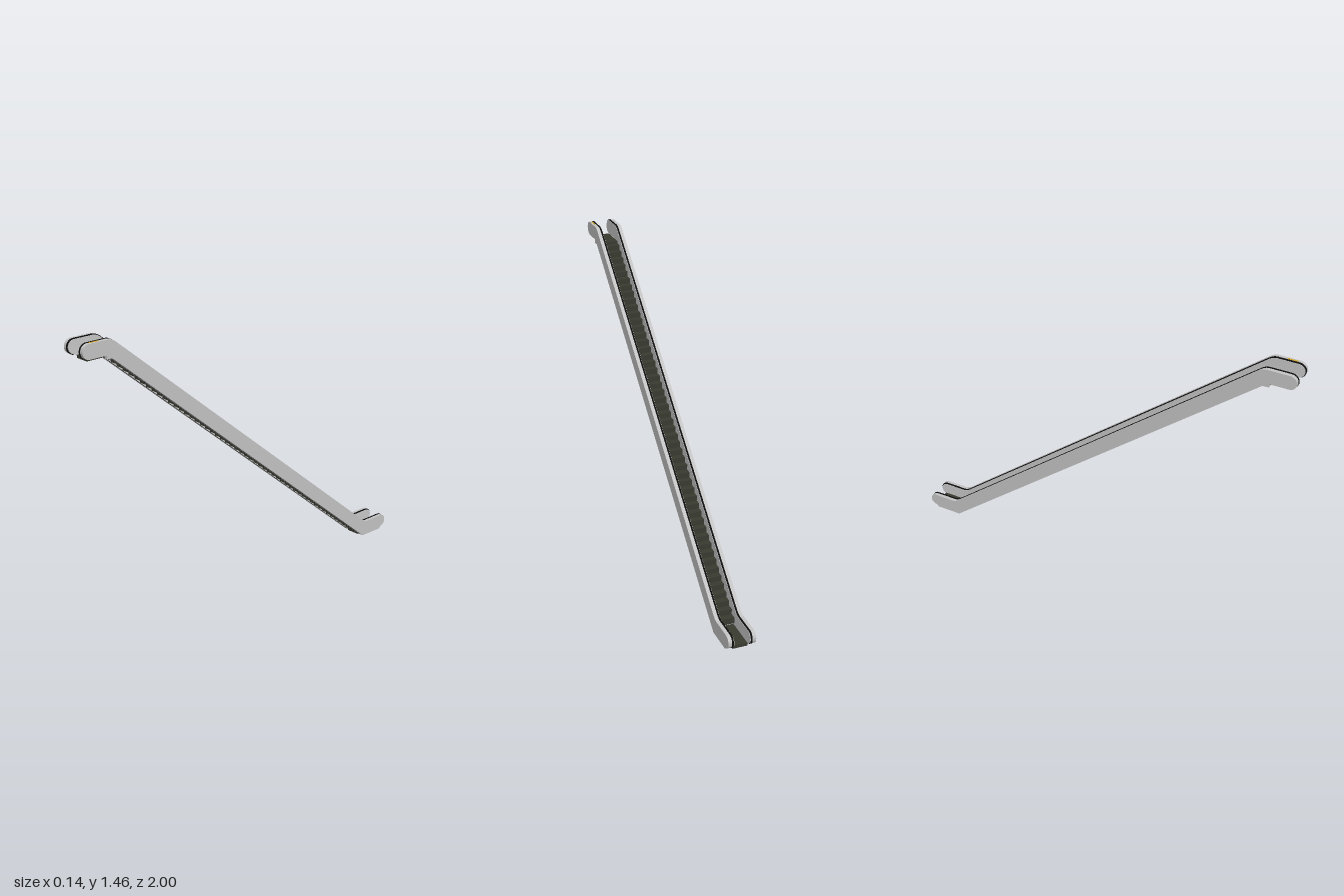
import * as THREE from 'three';
import { toCreasedNormals } from 'three/addons/utils/BufferGeometryUtils.js';

const SLOPE = 0.825;
const underside = (z) => THREE.MathUtils.clamp((z + 0.82) * SLOPE, 0, 1.385);

// Side outline in (z, y): two level ends with round noses joined by a long slope.
// grow lifts the top edge and noses a little.
function sideOutline(grow) {
  const g = grow;
  const s = new THREE.Shape();
  s.moveTo(-0.82, 0);
  s.lineTo(0.842, 1.371);
  s.lineTo(0.872, 1.371);
  s.lineTo(0.872, 1.389);
  s.lineTo(0.963, 1.389);
  s.absarc(0.962, 1.424, 0.035 + g, -Math.PI / 2, Math.PI / 2, false);
  s.lineTo(0.862, 1.459 + g);
  s.quadraticCurveTo(0.842, 1.459 + g, 0.82, 1.441 + g);
  s.lineTo(-0.815, 0.094 + g);
  s.quadraticCurveTo(-0.835, 0.078 + g, -0.855, 0.078 + g);
  s.lineTo(-0.962, 0.078 + g);
  s.absarc(-0.962, 0.045, 0.033 + g, Math.PI / 2, Math.PI * 1.5, false);
  s.lineTo(-0.955, 0);
  s.closePath();
  return s;
}

// Extrudes the outline between two distances from the centre line
function slab(side, inner, outer, grow) {
  const geo = new THREE.ExtrudeGeometry(sideOutline(grow), {
    depth: outer - inner, bevelEnabled: false, curveSegments: 12,
  });
  geo.rotateY(-Math.PI / 2);
  geo.translate(side > 0 ? outer : -inner, 0, 0);
  return geo;
}

export function createModel() {
  const metal = new THREE.MeshStandardMaterial({ color: 0xc2c2c2 });
  metal.name = 'brushed metal';
  const rubber = new THREE.MeshStandardMaterial({ color: 0x0c0c0c });
  rubber.name = 'black rubber';
  const tread = new THREE.MeshStandardMaterial({ color: 0x38392f });
  tread.name = 'dark tread';
  const yellow = new THREE.MeshStandardMaterial({ color: 0xd8a820 });
  yellow.name = 'yellow';

  const model = new THREE.Group();
  model.name = 'escalator';
  const add = (parent, name, geo, mat, x = 0, y = 0, z = 0) => {
    const mesh = new THREE.Mesh(geo, mat);
    mesh.name = name;
    mesh.position.set(x, y, z);
    parent.add(mesh);
  };

  // Balustrades: outer panel, handrail and a lining that leans outward
  for (const side of [1, -1]) {
    const balustrade = new THREE.Group();
    balustrade.name = side > 0 ? 'leftBalustrade' : 'rightBalustrade';
    model.add(balustrade);
    add(balustrade, 'outerPanel', toCreasedNormals(slab(side, 0.05, 0.068, 0), 0.5), metal);
    add(balustrade, 'handrail', toCreasedNormals(slab(side, 0.042, 0.05, 0.0015), 0.5), rubber);

    const lining = slab(side, 0.035, 0.042, -0.002);
    const p = lining.attributes.position;
    for (let i = 0; i < p.count; i++) {
      if (Math.abs(p.getX(i)) > 0.038) continue;
      const t = THREE.MathUtils.clamp((p.getY(i) - underside(p.getZ(i))) / 0.08, 0, 1);
      p.setX(i, side * (0.035 + 0.005 * t));
    }
    add(balustrade, 'innerLining', toCreasedNormals(lining, 0.5), metal);
  }

  // Steps
  const steps = new THREE.Group();
  steps.name = 'steps';
  model.add(steps);
  const count = 52;
  const depth = 1.66 / count;
  const stepGeo = new THREE.BoxGeometry(0.072, 0.031, depth);
  for (let i = 0; i < count; i++) {
    const z = -0.82 + (i + 0.5) * depth;
    const bottom = Math.min(underside(z + depth / 2), 1.356);
    add(steps, 'step', stepGeo, tread, 0, bottom + 0.0155, z);
  }

  // Level landings at both ends
  add(model, 'lowerLanding', new THREE.BoxGeometry(0.072, 0.016, 0.16), tread, 0, 0.009, -0.89);
  add(model, 'upperLanding', new THREE.BoxGeometry(0.072, 0.014, 0.125), tread, 0, 1.38, 0.892);

  // Small marker on the upper end
  add(model, 'marker', new THREE.BoxGeometry(0.006, 0.003, 0.05), yellow, 0.056, 1.4595, 0.93);
  return model;
}
